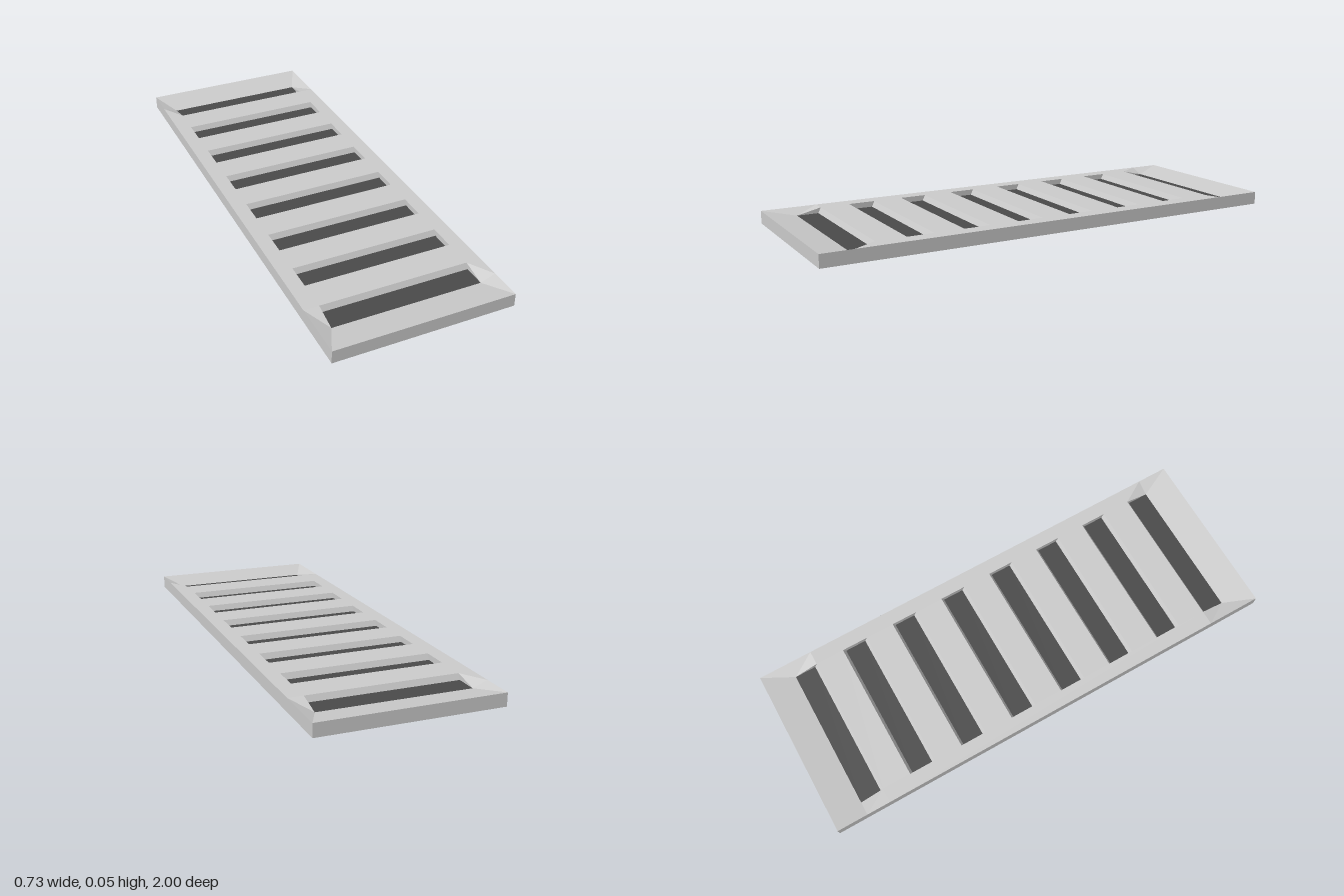
import * as THREE from 'three';

const W = 0.365;      // half width
const L = 1;          // half length
const IN = 0.304;     // half width of the slots
const TOP = 0.053;    // height of rim and slats
const LOW = 0.03;     // height of the slot floors
const COUNT = 8, PITCH = 0.2355;
const FLOOR = 0.045, OPEN = 0.056; // half depth of slot floor and opening

const grey = new THREE.MeshStandardMaterial({ color: 0xcccccc, side: THREE.DoubleSide, flatShading: true });
const dark = new THREE.MeshStandardMaterial({ color: 0x4a4a4a, side: THREE.DoubleSide, flatShading: true });

// Mesh from polygons with three or four corners, fanned into triangles
function sheet(name, polygons, material) {
  const pos = [];
  for (const p of polygons)
    for (let i = 1; i < p.length - 1; i++) pos.push(...p[0], ...p[i], ...p[i + 1]);
  const g = new THREE.BufferGeometry();
  g.setAttribute('position', new THREE.Float32BufferAttribute(pos, 3));
  g.computeVertexNormals();
  const m = new THREE.Mesh(g, material);
  m.name = name;
  return m;
}

// Strip across the width between two (z, y) positions, facing up
const across = (z0, y0, z1, y1, x0 = IN, x1 = IN) =>
  [[-x0, y0, z0], [-x1, y1, z1], [x1, y1, z1], [x0, y0, z0]];

// Mirror polygons in one axis, keeping the corner order outward
const mirror = (polys, axis) =>
  polys.map(p => p.map(v => v.map((c, i) => (i === axis ? -c : c))).reverse());
const both = (polys, axis) => [...polys, ...mirror(polys, axis)];

export function createModel() {
  const group = new THREE.Group();
  const centres = Array.from({ length: COUNT }, (_, i) => (i - (COUNT - 1) / 2) * PITCH);
  const last = centres[COUNT - 1];
  const endZ = last + FLOOR, nearZ = last - OPEN;

  // Outer skirt, open below
  group.add(sheet('skirt', [
    ...both([[[-W, 0, L], [W, 0, L], [W, TOP, L], [-W, TOP, L]]], 2),
    ...both([[[W, 0, L], [W, 0, -L], [W, TOP, -L], [W, TOP, L]]], 0),
  ], grey));

  // End panels sloping down to the outermost slots
  group.add(sheet('endPanels', both([across(endZ, LOW, L, TOP, IN, W)], 2), grey));

  // Side rails, dipping at the corners to meet the end panels
  const corner = [
    [[W, TOP, L], [W, TOP, endZ], [IN, LOW, endZ]],
    [[W, TOP, endZ], [W, TOP, nearZ], [IN, TOP, nearZ], [IN, LOW, endZ]],
  ];
  const rail = [[W, TOP, nearZ], [W, TOP, -nearZ], [IN, TOP, -nearZ], [IN, TOP, nearZ]];
  group.add(sheet('sideRails', both([...both(corner, 2), rail], 0), grey));

  // Slats between the slots, with bevelled long edges
  for (let i = 0; i < COUNT - 1; i++) {
    const a = centres[i], b = centres[i + 1];
    group.add(sheet('slat', [
      across(a + FLOOR, LOW, a + OPEN, TOP),
      across(a + OPEN, TOP, b - OPEN, TOP),
      across(b - OPEN, TOP, b - FLOOR, LOW),
    ], grey));
  }

  // Dark slot floors and the walls closing their short ends
  centres.forEach((z, i) => {
    group.add(sheet('slotFloor', [across(z - FLOOR, LOW, z + FLOOR, LOW)], dark));
    const wall = [[IN, LOW, z - FLOOR], [IN, LOW, z + FLOOR]];
    if (i < COUNT - 1) wall.push([IN, TOP, z + OPEN]);
    if (i > 0) wall.push([IN, TOP, z - OPEN]);
    group.add(sheet('slotEndWalls', both([wall], 0), grey));
  });

  return group;
}
